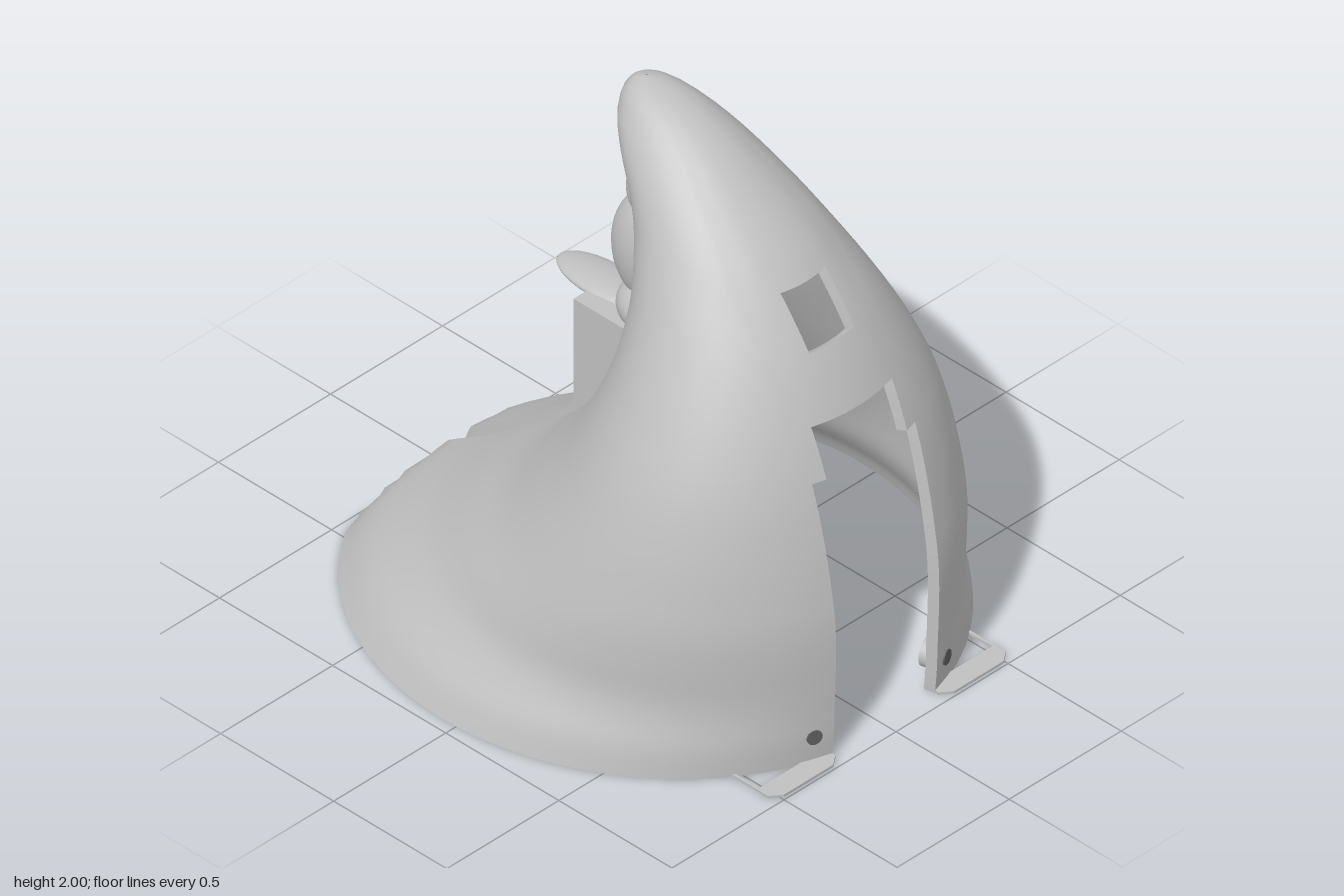
import * as THREE from 'three';

const SHELL = 0.04; // wall thickness
// Horn profile: height, half width, front z, back z
const PROFILE = [
  [0, 0.955, 0.975, -1.1], [0.1, 0.91, 0.985, -1.0], [0.18, 0.855, 0.99, -0.885], [0.26, 0.812, 0.995, -0.76],
  [0.4, 0.78, 0.998, -0.57], [0.5, 0.757, 0.995, -0.44], [0.6, 0.73, 0.985, -0.34],
  [0.8, 0.67, 0.95, -0.18], [1.0, 0.6, 0.9, -0.07], [1.2, 0.51, 0.825, -0.005],
  [1.4, 0.41, 0.72, 0.01], [1.6, 0.31, 0.57, -0.03], [1.7, 0.262, 0.47, -0.075],
  [1.8, 0.212, 0.35, -0.14], [1.88, 0.163, 0.24, -0.178], [1.94, 0.115, 0.13, -0.178],
  [1.975, 0.075, 0.03, -0.16], [1.992, 0.04, -0.04, -0.135], [2, 0.003, -0.1, -0.106],
];

// Smooth interpolation of the profile
function profileAt(y) {
  const P = PROFILE, last = P.length - 1;
  let i = 0;
  while (i < last - 1 && y > P[i + 1][0]) i++;
  const slope = (n, c) => {
    const a = P[Math.max(0, n - 1)], b = P[Math.min(last, n + 1)];
    return (b[c] - a[c]) / (b[0] - a[0]);
  };
  const h = P[i + 1][0] - P[i][0], t = (y - P[i][0]) / h, t2 = t * t, t3 = t2 * t;
  return [1, 2, 3].map((c) => (2 * t3 - 3 * t2 + 1) * P[i][c] + (t3 - 2 * t2 + t) * h * slope(i, c)
    + (3 * t2 - 2 * t3) * P[i + 1][c] + (t3 - t2) * h * slope(i + 1, c));
}

const backLimit = (y) => -0.985 + y * 0.35; // flat cut at the rear of the base
const backZ = (y) => Math.max(profileAt(y)[2], backLimit(y));

function surfacePoint(y, angle) {
  const [w, f, b] = profileAt(y);
  const z = (f + b) / 2 + ((f - b) / 2) * Math.cos(angle);
  return new THREE.Vector3(w * Math.sin(angle), y, Math.max(z, backLimit(y)));
}

// Column angles, with straight columns beside the cut-outs
function columnAngles(y) {
  const w = profileAt(y)[0], k = Math.min(1, w / 0.32);
  const at = (x) => Math.asin((x * k) / w);
  const half = [0, 0.05, 0.1, 0.14, 0.18, 0.23].map(at);
  const start = half[half.length - 1], end = Math.PI - at(0.15), n = 30;
  for (let i = 1; i <= n; i++) half.push(start + ((end - start) * i) / n);
  [0.1, 0.05, 0.025, 0].forEach((x) => half.push(Math.PI - at(x)));
  const mirrored = half.slice(1, -1).reverse().map((a) => 2 * Math.PI - a);
  return half.concat(mirrored);
}

// True where the shell is cut away
function isCut(x, y, front) {
  x = Math.abs(x);
  if (front) {
    return (x < 0.23 && y < 1.02) || (x < 0.18 && y < 1.19)
      || (x < 0.1 && y > 1.39 && y < 1.56);
  }
  return (x < 0.05 && y < 0.62) || (x < 0.1 && y > 0.66 && y < 0.96)
    || (x < 0.05 && y >= 0.96 && y < 1.06);
}

function shellGeometry() {
  const ys = [0.62, 0.66, 0.96, 1.02, 1.06, 1.19, 1.39, 1.56, 1.93, 1.955, 1.975, 1.985, 1.992, 1.997, 2];
  for (let i = 0; i < 64; i++) {
    const y = i * 0.03;
    if (ys.every((v) => Math.abs(v - y) > 0.008)) ys.push(y);
  }
  ys.sort((a, b) => a - b);
  const grid = ys.map((y) => columnAngles(y).map((a) => surfacePoint(y, a)));
  const rows = ys.length, cols = grid[0].length;
  const id = (i, j) => i * cols + ((j + cols) % cols);

  // Normals of the uncut surface
  const full = new THREE.BufferGeometry().setFromPoints(grid.flat());
  const faces = [];
  for (let i = 0; i < rows - 1; i++) for (let j = 0; j < cols; j++) {
    const a = id(i, j), b = id(i, j + 1), c = id(i + 1, j + 1), d = id(i + 1, j);
    faces.push(a, b, c, a, c, d);
  }
  full.setIndex(faces);
  full.computeVertexNormals();
  const outer = grid.flat();
  const normals = outer.map((_, n) => new THREE.Vector3().fromBufferAttribute(full.attributes.normal, n));
  const inner = outer.map((p, n) => p.clone().addScaledVector(normals[n], -SHELL));
  for (let j = 0; j < cols; j++) inner[j].y = 0;

  const pos = [], nor = [];
  const tri = (pts, ns) => pts.forEach((p, n) => { pos.push(...p.toArray()); nor.push(...ns[n].toArray()); });
  const wall = (p, q) => {
    const n = inner[p].clone().sub(outer[p]).cross(outer[q].clone().sub(outer[p])).normalize();
    tri([outer[p], inner[p], inner[q]], [n, n, n]);
    tri([outer[p], inner[q], outer[q]], [n, n, n]);
  };
  const kept = (i, j) => {
    if (i < 0 || i >= rows - 1) return false;
    const m = outer[id(i, j)].clone().add(outer[id(i + 1, j + 1)]).multiplyScalar(0.5);
    const [, f, b] = profileAt(m.y);
    return !isCut(m.x, m.y, m.z > (f + b) / 2);
  };
  for (let i = 0; i < rows - 1; i++) for (let j = 0; j < cols; j++) {
    if (!kept(i, j)) continue;
    const [a, b, c, d] = [id(i, j), id(i, j + 1), id(i + 1, j + 1), id(i + 1, j)];
    for (const t of [[a, b, c], [a, c, d]]) {
      tri(t.map((v) => outer[v]), t.map((v) => normals[v]));
      const r = t.slice().reverse();
      tri(r.map((v) => inner[v]), r.map((v) => normals[v].clone().negate()));
    }
    if (!kept(i - 1, j)) wall(a, b);
    if (!kept(i, j + 1)) wall(b, c);
    if (i < rows - 2 && !kept(i + 1, j)) wall(c, d);
    if (!kept(i, j - 1)) wall(d, a);
  }
  const g = new THREE.BufferGeometry();
  g.setAttribute('position', new THREE.Float32BufferAttribute(pos, 3));
  g.setAttribute('normal', new THREE.Float32BufferAttribute(nor, 3));
  return g;
}

// Side profile of [z, y] points, extruded across x
function sidePlate(points, x, width) {
  const shape = new THREE.Shape(points.map(([z, y]) => new THREE.Vector2(z, y)));
  return new THREE.ExtrudeGeometry(shape, { depth: width, bevelEnabled: false })
    .rotateY(-Math.PI / 2).translate(x + width / 2, 0, 0);
}

export function createModel() {
  const model = new THREE.Group();
  const grey = new THREE.MeshStandardMaterial({ color: 0xc0c0c0, side: THREE.DoubleSide });
  grey.name = 'light grey';
  const dark = new THREE.MeshStandardMaterial({ color: 0x606060 });
  dark.name = 'hole grey';
  const add = (name, geometry, material = grey) => {
    const mesh = new THREE.Mesh(geometry, material);
    mesh.name = name;
    model.add(mesh);
    return mesh;
  };

  add('hornShell', shellGeometry());

  // Sloping rear channel
  const heights = Array.from({ length: 14 }, (_, i) => (i * 0.64) / 13);
  const line = (offset) => heights.map((y) => [backZ(y) + offset, y]);
  const band = (from, to) => [...line(from), ...line(to).reverse()];
  for (const s of [-1, 1]) add('channelWall', sidePlate(band(0.012, 0.12), s * 0.065, 0.03));
  add('channelFloor', sidePlate(band(0.1, 0.12), 0, 0.1));

  // Hollow box on the back
  const steps = [0.67, 0.75, 0.83, 0.91, 0.99, 1.09];
  const boxSide = [[-0.285, 0.66], ...steps.map((y) => [backZ(y) + 0.03, y]), [-0.285, 1.09]];
  for (const s of [-1, 1]) add('boxSide', sidePlate(boxSide, s * 0.13, 0.02));
  add('boxBack', new THREE.BoxGeometry(0.28, 0.44, 0.015).translate(0, 0.87, -0.28));
  add('boxTop', new THREE.BoxGeometry(0.28, 0.02, 0.28).translate(0, 1.085, -0.147));

  // Stacked round body, head and ledge
  const blob = (name, radii, at) => {
    const mesh = add(name, new THREE.SphereGeometry(1, 32, 20));
    mesh.scale.set(...radii);
    mesh.position.set(...at);
  };
  blob('roundBody', [0.11, 0.21, 0.15], [0, 1.34, -0.075]);
  blob('bodyFoot', [0.13, 0.1, 0.14], [0, 1.13, -0.05]);
  blob('roundHead', [0.085, 0.115, 0.105], [0, 1.57, -0.06]);
  blob('ledge', [0.085, 0.028, 0.2], [0, 1.093, -0.285]);

  // Fixing tabs and bolt holes beside the doorway
  for (const s of [-1, 1]) {
    const outline = [[0.23, 0.91], [0.23, 0.96], [0.27, 0.99], [0.49, 0.99], [0.53, 0.96],
      [0.53, 0.78], [0.52, 0.78], [0.52, 0.91]];
    const tab = new THREE.Shape(outline.map(([x, z]) => new THREE.Vector2(s * x, -z)));
    add('fixingTab', new THREE.ExtrudeGeometry(tab, { depth: 0.01, bevelEnabled: false }).rotateX(-Math.PI / 2));
    const angle = Math.asin((s * 0.295) / profileAt(0.1)[0]);
    const p = surfacePoint(0.1, angle);
    const hole = add('boltHole', new THREE.CylinderGeometry(0.027, 0.027, 0.009, 20).rotateX(Math.PI / 2), dark);
    hole.position.copy(p);
    hole.rotation.y = angle;
    const lug = add('boltLug', new THREE.CylinderGeometry(0.05, 0.05, 0.05, 20).rotateX(Math.PI / 2));
    lug.position.set(p.x - Math.sin(angle) * 0.05, 0.1, p.z - Math.cos(angle) * 0.05);
    lug.rotation.y = angle;
  }
  return model;
}
